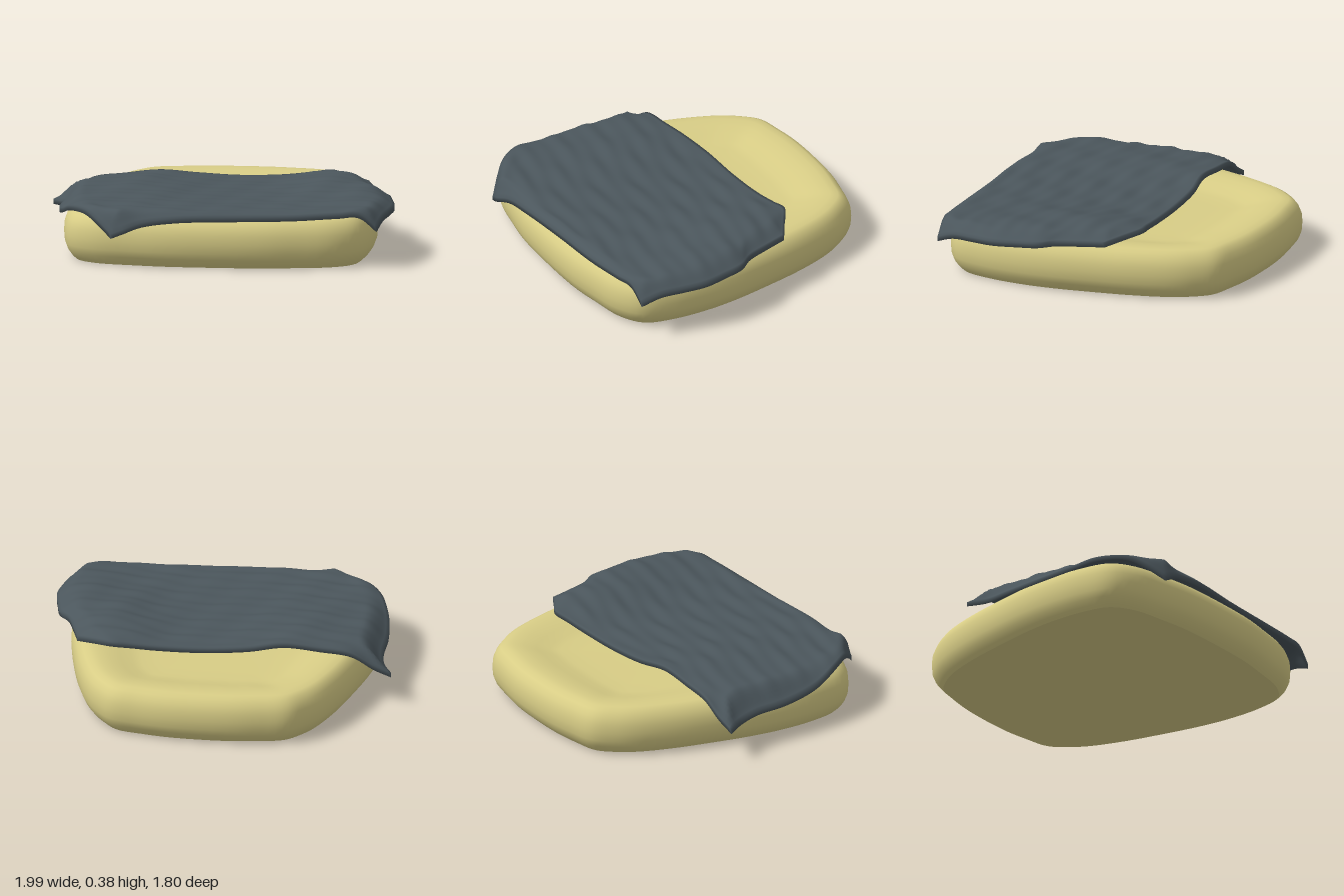
import * as THREE from 'three';

const curve = (pts, closed = false) =>
  new THREE.CatmullRomCurve3(pts.map(p => new THREE.Vector3(...p)), closed, 'centripetal');

function buildGeometry(positions, index) {
  const g = new THREE.BufferGeometry();
  g.setAttribute('position', new THREE.Float32BufferAttribute(positions, 3));
  g.setIndex(index);
  g.computeVertexNormals();
  return g;
}

// Rings of the cushion outline, each moved inwards by an inset and set at a height
function ringLoft(outline, rings) {
  const n = outline.length, pos = [], idx = [];
  for (const [inset, y] of rings) {
    for (const p of outline) {
      const r = Math.hypot(p.x, p.z), s = Math.max(0, r - inset) / r;
      pos.push(p.x * s, y, p.z * s);
    }
  }
  for (let k = 0; k < rings.length - 1; k++) {
    for (let i = 0; i < n; i++) {
      const j = (i + 1) % n, a = k * n + i, b = k * n + j;
      idx.push(a, a + n, b, b, a + n, b + n);
    }
  }
  return buildGeometry(pos, idx);
}

function createCushion(material) {
  const half = [
    [0.17, -0.9], [0.36, -0.87], [0.51, -0.83], [0.6, -0.74], [0.67, -0.63], [0.75, -0.42],
    [0.81, -0.19], [0.86, 0.06], [0.88, 0.27], [0.87, 0.5], [0.82, 0.68], [0.69, 0.775],
    [0.48, 0.825], [0.25, 0.86],
  ];
  const loop = [...half, ...half.map(([x, z]) => [-x, z]).reverse()].map(([x, z]) => [x, 0, z]);
  const outline = curve(loop, true).getPoints(112).slice(0, -1);
  const group = new THREE.Group();
  group.name = 'cushion';
  const parts = {
    cushionBase: [[2, 0], [0.065, 0]],
    cushionBody: [
      [0.065, 0], [0.045, 0.018], [0.02, 0.05], [0.004, 0.09], [0, 0.14], [0.004, 0.19], [0.02, 0.23],
      [0.045, 0.262], [0.075, 0.277], [0.12, 0.28], [0.18, 0.275], [0.25, 0.259], [0.32, 0.241],
      [0.38, 0.233], [0.5, 0.23], [2, 0.23],
    ],
  };
  for (const [name, rings] of Object.entries(parts)) {
    const mesh = new THREE.Mesh(ringLoft(outline, rings), material);
    mesh.name = name;
    group.add(mesh);
  }
  return group;
}

function createBlanket(material) {
  const T = 0.028, NU = 90, NV = 60;
  // Edge curves of the underside: corners shared, left and right run from back to front
  const back = curve([
    [-1, 0.16, -0.2], [-0.9, 0.21, -0.22], [-0.78, 0.285, -0.235], [-0.6, 0.31, -0.245],
    [-0.4, 0.33, -0.26], [-0.2, 0.31, -0.3], [0.05, 0.295, -0.32], [0.3, 0.3, -0.34],
    [0.46, 0.315, -0.36], [0.56, 0.325, -0.375], [0.66, 0.31, -0.32], [0.78, 0.29, -0.25],
  ]);
  const front = curve([
    [-0.57, 0.17, 0.88], [-0.5, 0.2, 0.895], [-0.4, 0.235, 0.87], [-0.2, 0.262, 0.86], [0.1, 0.268, 0.83],
    [0.45, 0.275, 0.805], [0.7, 0.288, 0.775], [0.82, 0.29, 0.755], [0.92, 0.21, 0.74],
  ]);
  const left = curve([
    [-1, 0.16, -0.2], [-0.945, 0.17, -0.1], [-0.925, 0.19, 0.02], [-0.925, 0.2, 0.2], [-0.905, 0.22, 0.37],
    [-0.88, 0.24, 0.47], [-0.83, 0.275, 0.59], [-0.73, 0.28, 0.73], [-0.66, 0.24, 0.8], [-0.57, 0.17, 0.88],
  ]);
  const right = curve([
    [0.78, 0.29, -0.25], [0.82, 0.285, -0.12], [0.87, 0.28, 0.02], [0.93, 0.275, 0.1], [0.96, 0.27, 0.22],
    [0.985, 0.265, 0.36], [0.97, 0.26, 0.5], [0.945, 0.25, 0.63], [0.92, 0.21, 0.74],
  ]);
  const sample = (c, n) => c.getSpacedPoints(n);
  const B = sample(back, NU), F = sample(front, NU), L = sample(left, NV), R = sample(right, NV);
  const bump = (x, c, w) => Math.exp(-(((x - c) / w) ** 2));

  // Draped height with two ridges and fine wrinkles running across
  const drape = (x, z) => {
    const wrinkle = 0.004 * Math.sin(z * 31 + 2.2 * Math.sin(x * 3.1) + x * 3)
      + 0.003 * Math.sin(z * 57 - x * 6 + Math.sin(x * 7)) + 0.0025 * Math.sin(x * 23 + z * 9);
    const ridges = 0.03 * bump(x, -0.45, 0.24) * bump(z, -0.1, 0.6)
      + 0.05 * bump(x, 0.58, 0.2) * bump(z, -0.08, 0.45)
      + 0.03 * bump(x, 0.82, 0.14) * bump(z, 0.3, 0.45);
    return 0.297 + ridges + wrinkle;
  };

  const pos = [], idx = [], row = NU + 1, count = row * (NV + 1);
  for (let layer = 0; layer < 2; layer++) {
    for (let j = 0; j <= NV; j++) {
      for (let i = 0; i <= NU; i++) {
        const u = i / NU, v = j / NV;
        // Blend the four edges into a patch
        const patch = k => (1 - v) * B[i][k] + v * F[i][k] + (1 - u) * L[j][k] + u * R[j][k]
          - (1 - u) * (1 - v) * B[0][k] - u * (1 - v) * B[NU][k] - (1 - u) * v * F[0][k] - u * v * F[NU][k];
        const x = patch('x'), z = patch('z');
        const inside = THREE.MathUtils.smoothstep(Math.min(u / 0.08, (1 - u) / 0.09, v / 0.1, (1 - v) / 0.08), 0, 1);
        const y = THREE.MathUtils.lerp(patch('y'), drape(x, z), inside);
        pos.push(x, layer ? y : y + T, z);
      }
    }
  }
  for (let j = 0; j < NV; j++) {
    for (let i = 0; i < NU; i++) {
      const a = j * row + i, b = a + row, c = a + 1, d = b + 1, o = count;
      idx.push(a, b, c, c, b, d, a + o, c + o, b + o, c + o, d + o, b + o);
    }
  }
  // Hem joining both layers
  const rim = [];
  for (let j = 0; j < NV; j++) rim.push(j * row);
  for (let i = 0; i < NU; i++) rim.push(NV * row + i);
  for (let j = NV; j > 0; j--) rim.push(j * row + NU);
  for (let i = NU; i > 0; i--) rim.push(i);
  rim.forEach((p, k) => {
    const q = rim[(k + 1) % rim.length];
    idx.push(p + count, q + count, p, p, q + count, q);
  });
  const mesh = new THREE.Mesh(buildGeometry(pos, idx), material);
  mesh.name = 'blanket';
  return mesh;
}

export function createModel() {
  const cushionFabric = new THREE.MeshStandardMaterial({ color: 0xd8cd86 });
  cushionFabric.name = 'pale yellow fabric';
  const blanketFabric = new THREE.MeshStandardMaterial({ color: 0x4b565c });
  blanketFabric.name = 'slate grey fabric';
  const model = new THREE.Group();
  model.name = 'cushionWithBlanket';
  model.add(createCushion(cushionFabric), createBlanket(blanketFabric));
  return model;
}
